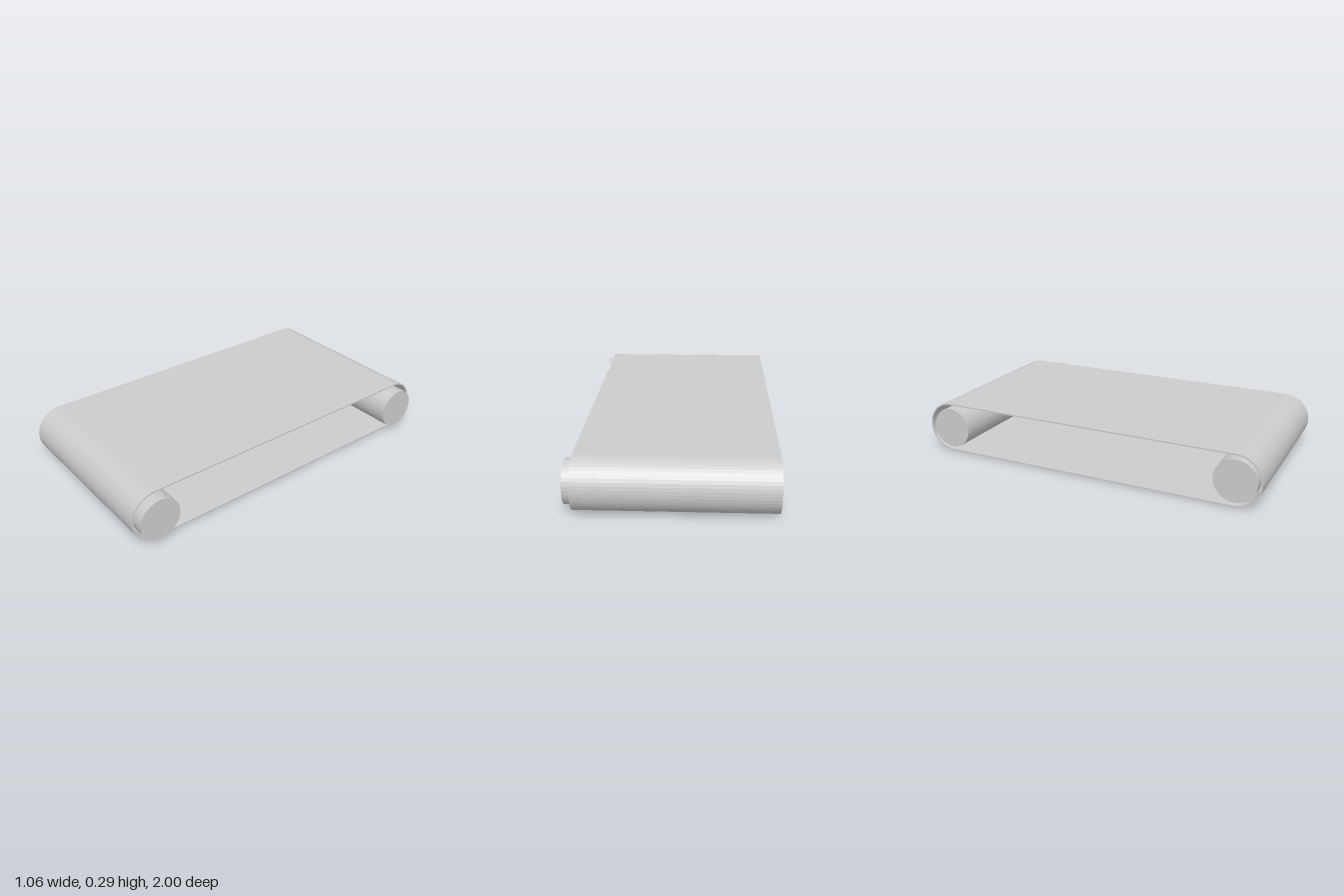
import * as THREE from 'three';

const material = new THREE.MeshStandardMaterial({ color: 0xcccccc, flatShading: true });

// Stadium outline: two half circles joined by straight runs
function stadium(path, halfRun, radius) {
  path.absarc(halfRun, 0, radius, -Math.PI / 2, Math.PI / 2, false);
  path.absarc(-halfRun, 0, radius, Math.PI / 2, Math.PI * 1.5, false);
  path.closePath();
  return path;
}

export function createModel() {
  const group = new THREE.Group();
  group.name = 'conveyorBelt';

  // Thin endless belt, open at both sides
  const radius = 0.144, thickness = 0.008, halfRun = 1 - radius;
  const shape = stadium(new THREE.Shape(), halfRun, radius);
  shape.holes.push(stadium(new THREE.Path(), halfRun, radius - thickness));
  const beltGeometry = new THREE.ExtrudeGeometry(shape, {
    depth: 1.014, bevelEnabled: false, curveSegments: 12,
  });
  beltGeometry.rotateY(Math.PI / 2);
  const belt = new THREE.Mesh(beltGeometry, material);
  belt.name = 'belt';
  belt.position.set(-0.527, radius, 0);
  group.add(belt);

  // Rollers, reaching past the belt on the left side
  const rollerGeometry = new THREE.CylinderGeometry(0.116, 0.116, 1.056, 32);
  rollerGeometry.rotateZ(Math.PI / 2);
  for (const [name, z] of [['frontRoller', 0.859], ['backRoller', -0.853]]) {
    const roller = new THREE.Mesh(rollerGeometry, material);
    roller.name = name;
    roller.position.set(0, 0.141, z);
    group.add(roller);
  }
  return group;
}
